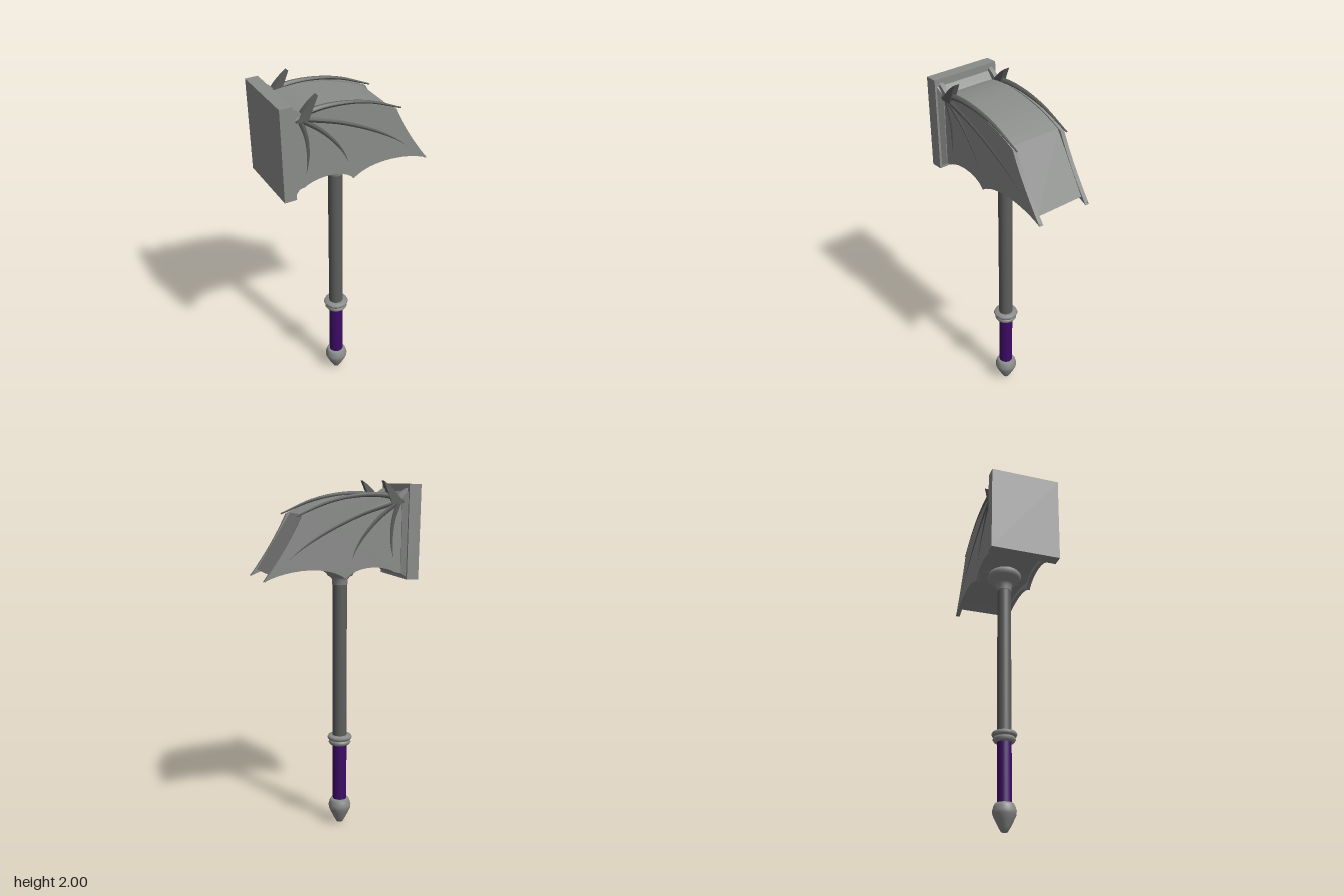
import * as THREE from 'three';

const mat = (name, color, side = THREE.FrontSide) => {
  const m = new THREE.MeshStandardMaterial({ color, side });
  m.name = name;
  return m;
};

export function createModel() {
  const group = new THREE.Group();
  const steel = mat('light steel', 0x8a8c8a);
  const dark = mat('dark steel', 0x5c5e5c);
  const purple = mat('purple grip', 0x3d0b66);
  const AXIS = -0.04;

  const add = (name, geo, material, x = 0, y = 0, z = 0) => {
    const mesh = new THREE.Mesh(geo, material);
    mesh.name = name;
    mesh.position.set(x, y, z);
    group.add(mesh);
    return mesh;
  };
  const lathe = (name, pts, material) =>
    add(name, new THREE.LatheGeometry(pts.map(p => new THREE.Vector2(...p)), 32), material, AXIS);

  // Extruded side profile spanning z0..z1
  const slab = (shape, z0, z1) => {
    const geo = new THREE.ExtrudeGeometry(shape, { depth: z1 - z0, bevelEnabled: false, curveSegments: 12 });
    return geo.translate(0, 0, z0);
  };

  // Tapered bone: a tube whose rings shrink along its length
  const bone = (pts, z, r0, r1, depth = 1) => {
    const curve = new THREE.CatmullRomCurve3(pts.map(p => new THREE.Vector3(p[0], p[1], 0)));
    const seg = 20, sides = 8;
    const geo = new THREE.TubeGeometry(curve, seg, 1, sides, false);
    const pos = geo.attributes.position, c = new THREE.Vector3(), v = new THREE.Vector3();
    for (let i = 0; i < pos.count; i++) {
      const t = Math.floor(i / (sides + 1)) / seg;
      curve.getPointAt(t, c);
      v.fromBufferAttribute(pos, i).sub(c).multiplyScalar(r0 + (r1 - r0) * t);
      pos.setXYZ(i, c.x + v.x, c.y + v.y, z + v.z * depth);
    }
    geo.computeVertexNormals();
    return geo;
  };

  // Handle
  lathe('pommel', [[0, 0], [0.018, 0.006], [0.032, 0.03], [0.05, 0.066], [0.063, 0.095],
    [0.065, 0.115], [0.058, 0.14], [0.05, 0.155], [0, 0.156]], steel);
  add('grip', new THREE.CylinderGeometry(0.04, 0.04, 0.35, 32), purple, AXIS, 0.325);
  add('shaft', new THREE.CylinderGeometry(0.04, 0.04, 1.0, 32), dark, AXIS, 1.0);
  lathe('gripRing', [[0.04, 0.49], [0.055, 0.492], [0.064, 0.505], [0.06, 0.517], [0.053, 0.521],
    [0.066, 0.525], [0.071, 0.536], [0.066, 0.547], [0.04, 0.549]], steel);
  lathe('headCollar', [[0.04, 1.43], [0.043, 1.432], [0.044, 1.46], [0.055, 1.475], [0.07, 1.482],
    [0.076, 1.495], [0.092, 1.505], [0.1, 1.52], [0.1, 1.535], [0.08, 1.56], [0, 1.56]], steel);

  // Striking plate, tipped very slightly
  add('strikingPlate', new THREE.BoxGeometry(0.068, 0.515, 0.4), steel, -0.4, 1.725).rotation.z = 0.014;

  // Flared neck joining the plate to the head
  const neck = new THREE.BoxGeometry(0.04, 1, 1);
  const np = neck.attributes.position;
  for (let i = 0; i < np.count; i++) {
    const wide = np.getX(i) < 0;
    const up = np.getY(i) > 0;
    np.setY(i, wide ? (up ? 1.95 : 1.475) : (up ? 1.905 : 1.5));
    np.setZ(i, Math.sign(np.getZ(i)) * (wide ? 0.192 : 0.172));
  }
  neck.computeVertexNormals();
  add('headNeck', neck, steel, -0.355);

  // Core of the head between the wings
  const core = new THREE.Shape();
  core.moveTo(-0.36, 1.9);
  core.bezierCurveTo(-0.22, 1.945, 0.02, 1.915, 0.205, 1.825);
  core.lineTo(0.4, 1.515);
  core.bezierCurveTo(0.27, 1.56, 0.1, 1.565, 0, 1.525);
  core.lineTo(-0.05, 1.525);
  core.bezierCurveTo(-0.12, 1.57, -0.24, 1.56, -0.3, 1.525);
  core.lineTo(-0.36, 1.5);
  add('headCore', slab(core, -0.146, 0.146), steel);

  // Scalloped wing membrane
  const wing = new THREE.Shape();
  wing.moveTo(-0.37, 1.88);
  wing.bezierCurveTo(-0.25, 1.95, 0.02, 1.93, 0.225, 1.82);
  wing.quadraticCurveTo(0.3, 1.66, 0.435, 1.48);
  wing.bezierCurveTo(0.3, 1.545, 0.08, 1.56, -0.02, 1.48);
  wing.bezierCurveTo(-0.08, 1.555, -0.24, 1.55, -0.305, 1.505);
  wing.quadraticCurveTo(-0.345, 1.505, -0.37, 1.475);

  const hub = [-0.32, 1.895];
  const ribs = [
    [hub, [-0.285, 1.78], [-0.28, 1.65], [-0.308, 1.507]],
    [hub, [-0.19, 1.79], [-0.08, 1.65], [-0.022, 1.485]],
    [hub, [-0.08, 1.815], [0.18, 1.68], [0.43, 1.483]],
  ];
  for (const s of [1, -1]) {
    const side = s > 0 ? 'left' : 'right';
    const z = 0.162 * s;
    add(side + 'Wing', slab(wing, s > 0 ? 0.144 : -0.168, s > 0 ? 0.168 : -0.144), steel);
    ribs.forEach((pts, i) => add(side + 'WingRib' + (i + 1), bone(pts, z, 0.018, 0.005, 0.8), dark));
    // Leading edge bone ending in a point past the membrane
    add(side + 'LeadingBone', bone([[-0.37, 1.88], [-0.27, 1.918], [-0.12, 1.925], [0.06, 1.895],
      [0.255, 1.818]], z, 0.019, 0.004, 0.95), dark);
    // Thumb claw
    const claw = new THREE.Shape();
    claw.moveTo(-0.34, 1.88);
    claw.quadraticCurveTo(-0.3, 1.95, -0.225, 2);
    claw.quadraticCurveTo(-0.255, 1.93, -0.275, 1.88);
    add(side + 'ThumbClaw', slab(claw, s > 0 ? 0.146 : -0.18, s > 0 ? 0.18 : -0.146), dark);
    // Short spur leaning back toward the plate
    const spur = new THREE.Shape();
    spur.moveTo(-0.37, 1.96);
    spur.quadraticCurveTo(-0.33, 1.945, -0.29, 1.9);
    spur.lineTo(-0.37, 1.88);
    add(side + 'Spur', slab(spur, s > 0 ? 0.15 : -0.175, s > 0 ? 0.175 : -0.15), steel);
  }
  return group;
}
